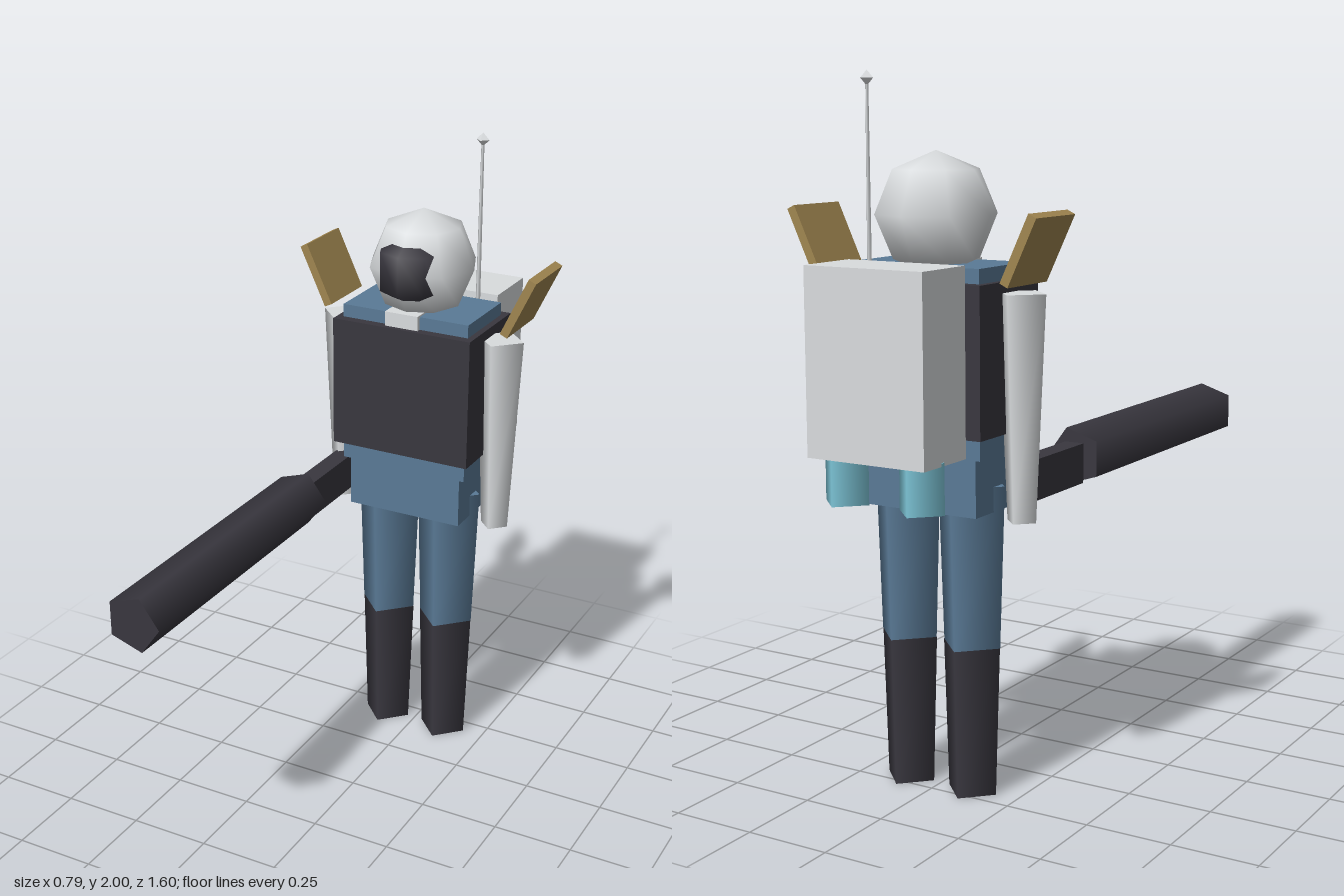
import * as THREE from 'three';

const mat = (name, color) => {
  const m = new THREE.MeshStandardMaterial({ color });
  m.name = name;
  return m;
};

export function createModel() {
  const group = new THREE.Group();
  const dark = mat('dark armour', 0x39373f);
  const blue = mat('blue suit', 0x5a7a96);
  const pale = mat('pale shell', 0xd9dcde);
  const tan = mat('tan plate', 0xa08650);
  const cyan = mat('cyan nozzle', 0x7cc4d6);
  const Z = -0.448; // depth of the body's centre line

  const add = (name, geometry, material, x, y, z) => {
    const mesh = new THREE.Mesh(geometry, material);
    mesh.name = name;
    mesh.position.set(x, y, z);
    group.add(mesh);
    return mesh;
  };
  // Box given by its limits on each axis
  const box = (name, material, x0, x1, y0, y1, z0, z1) =>
    add(name, new THREE.BoxGeometry(x1 - x0, y1 - y0, z1 - z0), material,
      (x0 + x1) / 2, (y0 + y1) / 2, (z0 + z1) / 2);
  // Upright tapered limb with four sides
  const limb = (name, material, rTop, rBottom, y0, y1, x, z) =>
    add(name, new THREE.CylinderGeometry(rTop, rBottom, y1 - y0, 4), material, x, (y0 + y1) / 2, z);

  // Torso
  box('pelvis', blue, -0.19, 0.19, 0.82, 0.98, -0.56, -0.34);
  box('torso', blue, -0.21, 0.21, 0.98, 1.49, -0.57, -0.33);
  box('chestArmour', dark, -0.23, 0.23, 1.04, 1.45, -0.6, -0.3);
  box('chinPiece', pale, -0.06, 0.05, 1.42, 1.495, -0.5, -0.315);

  // Head with a visor pushed into its front
  add('head', new THREE.SphereGeometry(0.17, 8, 4), pale, 0, 1.62, -0.45);
  add('visor', new THREE.SphereGeometry(0.12, 8, 3), dark, 0, 1.62, -0.38);

  // Paired parts
  for (const s of [-1, 1]) {
    const side = s < 0 ? 'right' : 'left';
    limb(side + 'Thigh', blue, 0.108, 0.092, 0.43, 0.89, s * 0.105, Z);
    limb(side + 'Boot', dark, 0.092, 0.078, 0, 0.43, s * 0.104, Z);
    limb(side + 'Arm', pale, 0.075, 0.045, 0.8, 1.42, s * 0.266, Z);
    limb(side + 'Nozzle', cyan, 0.071, 0.071, 0.86, 1.0, s * 0.12, -0.712);
    const plate = add(side + 'ShoulderPlate', new THREE.BoxGeometry(0.026, 0.2, 0.203), tan, s * 0.34, 1.543, -0.492);
    plate.rotation.z = -s * 0.44;
  }

  // Backpack and antenna
  box('backpack', pale, -0.185, 0.185, 0.99, 1.5, -0.798, -0.6);
  add('antenna', new THREE.CylinderGeometry(0.005, 0.008, 0.56, 4), pale, 0.122, 1.69, -0.592);
  add('antennaTip', new THREE.OctahedronGeometry(0.021), pale, 0.122, 1.979, -0.592);

  // Gun held out in front of the right arm
  box('gunGrip', dark, -0.276, -0.217, 0.845, 0.96, -0.42, -0.12);
  const barrel = new THREE.CylinderGeometry(0.087, 0.087, 0.917, 5, 1, false, Math.PI / 2);
  barrel.rotateX(Math.PI / 2);
  add('gunBarrel', barrel, dark, -0.247, 0.918, 0.3395);

  return group;
}
